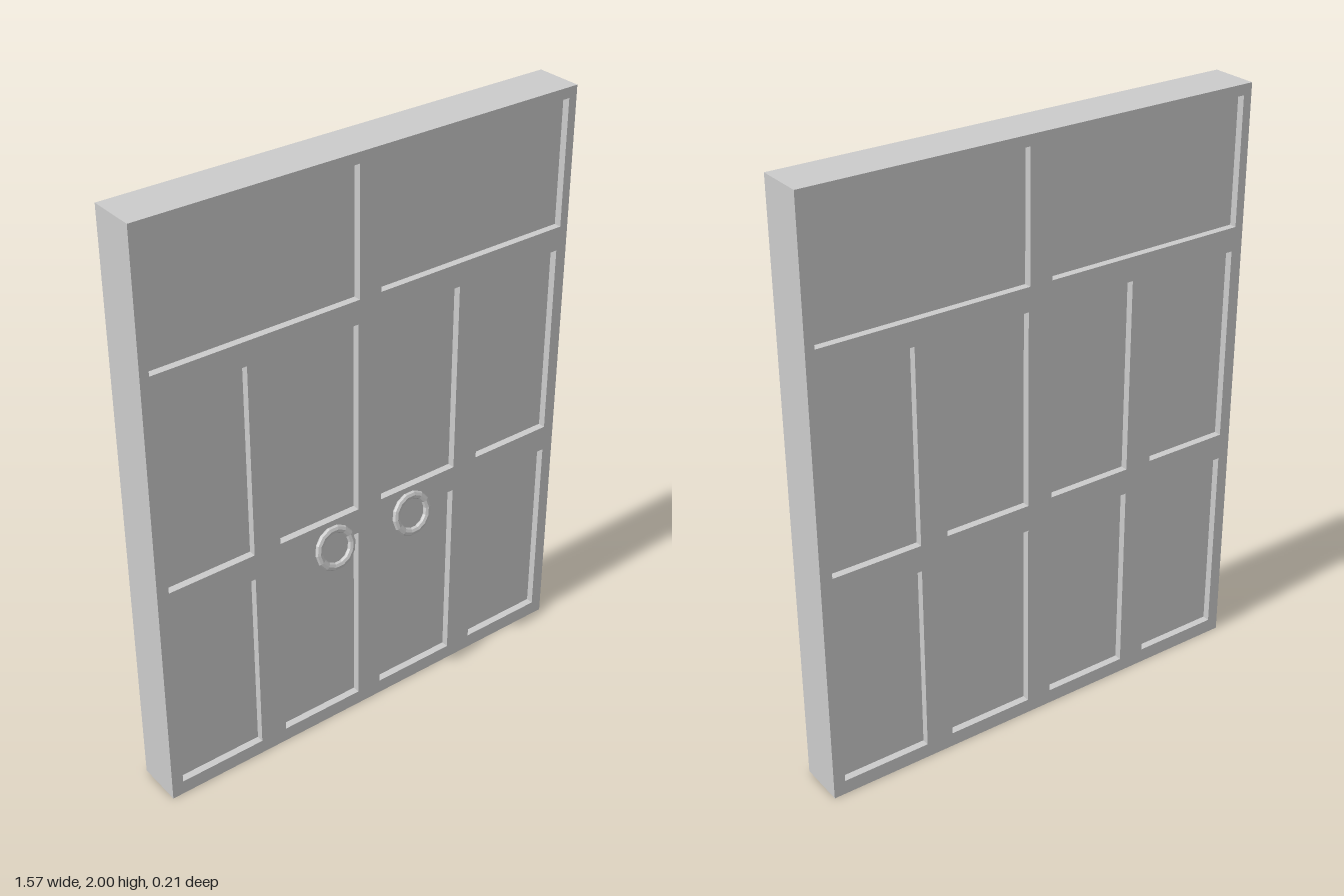
import * as THREE from 'three';

const HALF_W = 0.785, HEIGHT = 2, BACK = -0.105, FRONT = 0.055, RECESS = 0.025;

// Panel openings on the +x half: [x0, x1, y0, y1]
const HALF_PANELS = [
  [0.04, 0.755, 1.54, 1.965],
  [0.045, 0.345, 0.8, 1.46],
  [0.44, 0.745, 0.8, 1.46],
  [0.045, 0.345, 0.05, 0.71],
  [0.44, 0.745, 0.05, 0.71],
];

function trace(path, [x0, x1, y0, y1]) {
  path.moveTo(x0, y0);
  path.lineTo(x1, y0);
  path.lineTo(x1, y1);
  path.lineTo(x0, y1);
  path.closePath();
  return path;
}

export function createModel() {
  const group = new THREE.Group();
  const material = new THREE.MeshStandardMaterial({ color: 0xcccccc, flatShading: true });
  const add = (name, geometry, x, y, z) => {
    const mesh = new THREE.Mesh(geometry, material);
    mesh.name = name;
    mesh.position.set(x, y, z);
    group.add(mesh);
    return mesh;
  };

  const panels = HALF_PANELS.flatMap(([x0, x1, y0, y1]) => [
    [x0, x1, y0, y1],
    [-x1, -x0, y0, y1],
  ]);

  // Door frame with an opening for every panel
  const outline = trace(new THREE.Shape(), [-HALF_W, HALF_W, 0, HEIGHT]);
  outline.holes = panels.map((p) => trace(new THREE.Path(), p));
  const frame = new THREE.ExtrudeGeometry(outline, { depth: FRONT - BACK, bevelEnabled: false });
  add('doorFrame', frame, 0, 0, BACK);

  // Recessed panel faces, front and back
  for (const [x0, x1, y0, y1] of panels) {
    const face = new THREE.PlaneGeometry(x1 - x0, y1 - y0);
    const x = (x0 + x1) / 2, y = (y0 + y1) / 2;
    add('frontPanel', face, x, y, FRONT - RECESS);
    add('backPanel', face, x, y, BACK + RECESS).rotation.y = Math.PI;
  }

  // Ring pulls, leaning out at the bottom
  for (const side of [-1, 1]) {
    const ring = add(side > 0 ? 'leftRingPull' : 'rightRingPull',
      new THREE.TorusGeometry(0.0635, 0.0135, 8, 14), side * 0.153, 0.713, 0.078);
    ring.scale.z = 0.75;
    ring.rotation.x = -0.2;
  }

  return group;
}
